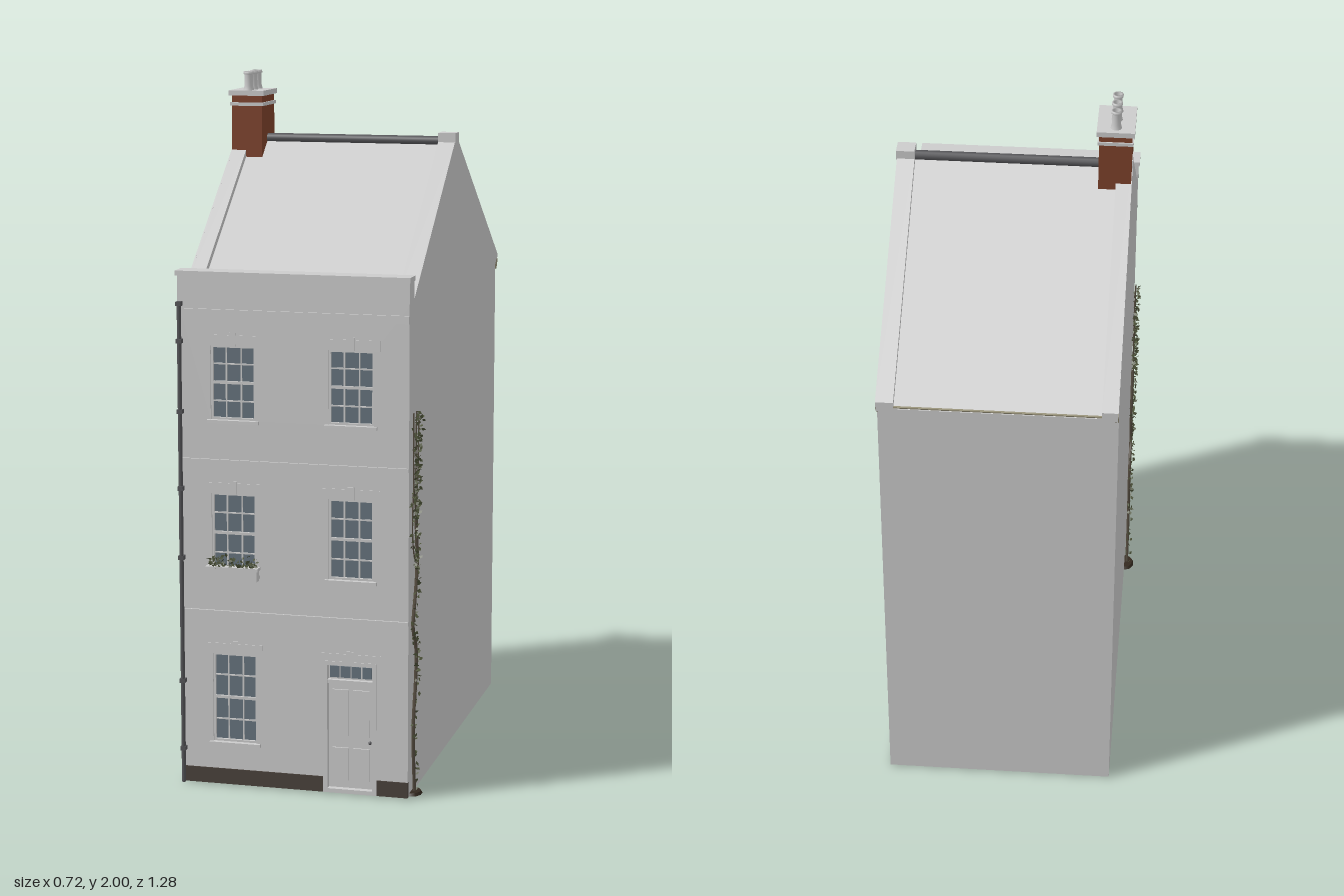
import * as THREE from 'three';
import { mergeGeometries } from 'three/addons/utils/BufferGeometryUtils.js';

const mat = (color, side = THREE.FrontSide) => new THREE.MeshStandardMaterial({ color, side });
const grey = mat(0xcccccc), greyBoth = mat(0xcccccc, THREE.DoubleSide);
const plinthMat = mat(0x4a423b), glassMat = mat(0x66737d), brick = mat(0x7d412b), dark = mat(0x555558);
const gutterMat = mat(0x9a947c), roomMat = mat(0x9a8f70), floorMat = mat(0x463322);
const stemMat = mat(0x554c40), leafMat = mat(0x4c5238, THREE.DoubleSide), soilMat = mat(0x33291f);

const L = -0.335, R = 0.33, FRONT = 0.6;

function add(parent, name, geo, material, x = 0, y = 0, z = 0) {
  const m = new THREE.Mesh(geo, material);
  m.name = name;
  m.position.set(x, y, z);
  parent.add(m);
  return m;
}
// Box given by its limits
function box(parent, name, material, x0, x1, y0, y1, z0, z1) {
  return add(parent, name, new THREE.BoxGeometry(x1 - x0, y1 - y0, z1 - z0), material,
    (x0 + x1) / 2, (y0 + y1) / 2, (z0 + z1) / 2);
}
// Side profile of [z, y] points, extruded from x0 to x1
function profile(parent, name, material, pts, x0, x1) {
  const shape = new THREE.Shape(pts.map(([z, y]) => new THREE.Vector2(-z, y)));
  const geo = new THREE.ExtrudeGeometry(shape, { depth: x1 - x0, bevelEnabled: false });
  geo.rotateY(Math.PI / 2);
  return add(parent, name, geo, material, x0);
}
function rectPath(x0, x1, y0, y1) {
  return new THREE.Path([[x0, y0], [x0, y1], [x1, y1], [x1, y0]].map(p => new THREE.Vector2(...p)));
}
function seeded(seed) {
  return () => (seed = (seed * 16807) % 2147483647) / 2147483647;
}
// Pointed, slightly folded leaf, randomly turned
function leaf(rand, x, y, z, s) {
  const g = new THREE.CircleGeometry(s, 4);
  g.scale(1, 0.65, 1);
  g.rotateX((rand() - 0.5) * 2.4);
  g.rotateY(rand() * 6.28);
  g.rotateZ(rand() * 6.28);
  return g.translate(x, y, z);
}

// Sash window with frame, glazing bars, sill, lintel and the room behind it
function windowUnit(x0, x1, y0, y1) {
  const g = new THREE.Group();
  g.name = 'window';
  const cx = (x0 + x1) / 2, w = x1 - x0, h = y1 - y0, f = 0.006;
  box(g, 'glass', glassMat, x0, x1, y0, y1, 0.584, 0.587);
  box(g, 'frameLeft', grey, x0, x0 + f, y0, y1, 0.585, 0.595);
  box(g, 'frameRight', grey, x1 - f, x1, y0, y1, 0.585, 0.595);
  box(g, 'frameBottom', grey, x0, x1, y0, y0 + f, 0.585, 0.595);
  box(g, 'frameTop', grey, x0, x1, y1 - f, y1, 0.585, 0.595);
  box(g, 'meetingRail', grey, x0, x1, y0 + h / 2 - 0.004, y0 + h / 2 + 0.004, 0.585, 0.594);
  for (const t of [1 / 3, 2 / 3]) box(g, 'uprightBar', grey, x0 + w * t - 0.002, x0 + w * t + 0.002, y0, y1, 0.585, 0.591);
  for (const t of [0.25, 0.75]) box(g, 'crossBar', grey, x0, x1, y0 + h * t - 0.002, y0 + h * t + 0.002, 0.585, 0.591);
  box(g, 'sill', grey, x0 - 0.01, x1 + 0.01, y0 - 0.01, y0, 0.59, 0.61);
  box(g, 'lintel', grey, x0 - 0.018, x1 + 0.018, y1, y1 + 0.03, 0.595, 0.602);
  box(g, 'keystone', grey, cx - 0.01, cx + 0.01, y1, y1 + 0.037, 0.595, 0.604);
  box(g, 'room', roomMat, x0 - 0.035, x1 + 0.035, y0, y1 + 0.01, 0.38, 0.582);
  box(g, 'roomFloor', floorMat, x0 - 0.035, x1 + 0.035, y0 - 0.004, y0, 0.38, 0.582);
  return g;
}

function door() {
  const g = new THREE.Group();
  g.name = 'door';
  const x0 = 0.085, x1 = 0.24, top = 0.385;
  add(g, 'doorLeaf', new THREE.PlaneGeometry(x1 - x0, top), grey, (x0 + x1) / 2, top / 2, 0.586);
  box(g, 'jambLeft', grey, x0, x0 + 0.012, 0, top, 0.586, 0.604);
  box(g, 'jambRight', grey, x1 - 0.012, x1, 0, top, 0.586, 0.604);
  box(g, 'head', grey, x0, x1, top - 0.012, top, 0.586, 0.604);
  box(g, 'transom', grey, x0, x1, 0.32, 0.33, 0.586, 0.6);
  box(g, 'threshold', grey, x0, x1, 0, 0.012, 0.586, 0.604);
  for (let i = 0; i < 4; i++) {
    const x = 0.101 + i * 0.0315;
    box(g, 'fanlight', glassMat, x, x + 0.027, 0.335, 0.368, 0.586, 0.589);
  }
  for (const x of [0.108, 0.168]) for (const [a, b] of [[0.035, 0.13], [0.165, 0.3]]) {
    box(g, 'panel', grey, x, x + 0.048, a, b, 0.586, 0.591);
  }
  add(g, 'knob', new THREE.SphereGeometry(0.005, 10, 8), dark, 0.219, 0.15, 0.593);
  box(g, 'lintel', grey, x0 - 0.012, x1 + 0.012, top, top + 0.022, 0.595, 0.602);
  box(g, 'keystone', grey, 0.153, 0.173, top, top + 0.03, 0.595, 0.604);
  return g;
}

// Climbing plant on a side wall: winding stems, spreading crown, leaves
function climber(x, side, dz, seed) {
  const g = new THREE.Group();
  g.name = 'climbingPlant';
  const rand = seeded(seed), leaves = [], stems = [];
  const runs = [
    [[0.55, 0], [0.57, 0.2], [0.54, 0.34], [0.54, 0.43], [0.58, 0.49], [0.55, 0.58], [0.53, 0.66], [0.545, 0.8]],
    [[0.53, 0.66], [0.57, 0.7], [0.59, 0.78], [0.575, 0.9]],
    [[0.545, 0.8], [0.575, 0.9], [0.58, 1.1]],
    [[0.545, 0.8], [0.55, 0.95], [0.545, 1.1]],
    [[0.545, 0.8], [0.525, 0.93], [0.515, 1.09]],
  ];
  runs.forEach((pts, k) => {
    const curve = new THREE.CatmullRomCurve3(pts.map(([z, y]) => new THREE.Vector3(x + side * 0.008, y, z + dz)));
    stems.push(new THREE.TubeGeometry(curve, 24, k ? 0.002 : 0.005, 5));
    const n = k ? 45 : 110, spread = k ? 0.022 : 0.014;
    for (let i = 0; i < n; i++) {
      const p = curve.getPoint(i / n);
      leaves.push(leaf(rand, x + side * (0.006 + rand() * 0.014), p.y + (rand() - 0.5) * 0.02,
        p.z + (rand() - 0.5) * 2 * spread, 0.006 + rand() * 0.003));
    }
  });
  add(g, 'stems', mergeGeometries(stems), stemMat);
  add(g, 'leaves', mergeGeometries(leaves), leafMat);
  add(g, 'soil', new THREE.CylinderGeometry(0.03, 0.036, 0.008, 10), soilMat, x + side * 0.002, 0.004, 0.55 + dz)
    .scale.x = 0.8;
  return g;
}

function windowBox() {
  const g = new THREE.Group();
  g.name = 'windowBox';
  const rand = seeded(77), leaves = [];
  box(g, 'planter', grey, -0.246, -0.1, 0.606, 0.642, 0.606, 0.632);
  box(g, 'planterRim', grey, -0.249, -0.097, 0.636, 0.645, 0.604, 0.635);
  for (let i = 0; i < 130; i++) {
    leaves.push(leaf(rand, -0.245 + rand() * 0.145, 0.642 + rand() * rand() * 0.04, 0.605 + rand() * 0.028, 0.007));
  }
  add(g, 'plants', mergeGeometries(leaves), leafMat);
  return g;
}

function chimney() {
  const g = new THREE.Group();
  g.name = 'chimney';
  box(g, 'stack', brick, -0.333, -0.241, 1.745, 1.93, -0.066, 0.066);
  box(g, 'lowerBand', grey, -0.337, -0.237, 1.9, 1.91, -0.07, 0.07);
  box(g, 'cap', grey, -0.34, -0.234, 1.93, 1.945, -0.075, 0.075);
  const pot = [[0.016, 0], [0.013, 0.012], [0.012, 0.045], [0.015, 0.047], [0.015, 0.055], [0.01, 0.055], [0.009, 0.01]]
    .map(p => new THREE.Vector2(...p));
  for (const z of [-0.045, 0, 0.045]) {
    add(g, 'pot', new THREE.LatheGeometry(pot, 16), greyBoth, -0.287, 1.945, z);
    add(g, 'flue', new THREE.CylinderGeometry(0.009, 0.009, 0.004, 12), dark, -0.287, 1.96, z);
  }
  return g;
}

export function createModel() {
  const house = new THREE.Group();
  house.name = 'terracedHouse';

  // Front wall with openings
  const windows = [];
  for (const [y0, y1] of [[0.125, 0.385], [0.62, 0.85], [1.06, 1.27]]) for (const x0 of [-0.24, 0.1]) {
    if (y0 < 0.5 && x0 > 0) continue;
    windows.push([x0, x0 + 0.13, y0, y1]);
  }
  const front = new THREE.Shape([[L, 0], [0.085, 0], [0.085, 0.385], [0.24, 0.385], [0.24, 0], [R, 0], [R, 1.4], [L, 1.4]]
    .map(p => new THREE.Vector2(...p)));
  windows.forEach(w => { front.holes.push(rectPath(...w)); house.add(windowUnit(...w)); });
  add(house, 'frontWall', new THREE.ExtrudeGeometry(front, { depth: 0.017, bevelEnabled: false }), grey, 0, 0, 0.583);

  // Gable side walls and back wall
  const gable = [[FRONT, 0], [FRONT, 1.475], [0.545, 1.475], [0.545, 1.41], [0, 1.82], [-0.635, 1.4], [-0.6, 1.37], [-0.6, 0]];
  profile(house, 'leftGable', grey, gable, R - 0.004, R);
  profile(house, 'rightGable', grey, gable, L, L + 0.004);
  box(house, 'backWall', grey, L, R, 0, 1.39, -0.6, -0.596);

  // Roof slopes between raised copings
  const roofBand = (dy, t) => [[0.55, 1.406 - dy], [0, 1.82 - dy], [-0.637, 1.4 - dy],
    [-0.637, 1.4 - dy - t], [0, 1.82 - dy - t], [0.55, 1.406 - dy - t]];
  profile(house, 'roof', grey, roofBand(0.02, 0.012), L + 0.01, R - 0.01);
  profile(house, 'copingLeft', grey, roofBand(0, 0.03), 0.28, R - 0.001);
  profile(house, 'copingRight', grey, roofBand(0, 0.03), L + 0.001, -0.29);
  const ridge = add(house, 'ridgeTile', new THREE.CylinderGeometry(0.014, 0.014, 0.59, 12), dark, -0.005, 1.803, 0);
  ridge.rotation.z = Math.PI / 2;
  for (const x of [L, 0.28]) box(house, 'apexBlock', grey, x, x + 0.052, 1.8, 1.828, -0.025, 0.025);

  // Parapet, string courses and plinth
  box(house, 'parapet', grey, L, R, 1.37, 1.465, 0.547, FRONT);
  box(house, 'parapetCap', grey, -0.34, 0.333, 1.463, 1.477, 0.543, 0.606);
  for (const [a, b] of [[0.5, 0.511], [0.936, 0.947], [1.35, 1.372]]) {
    box(house, 'stringCourse', grey, L, R, a, b, 0.595, 0.606);
  }
  box(house, 'plinth', plinthMat, L, 0.085, 0, 0.045, 0.59, 0.603);
  box(house, 'plinth', plinthMat, 0.24, R, 0, 0.045, 0.59, 0.603);

  // Rear gutter
  profile(house, 'gutter', gutterMat, [[-0.6, 1.355], [-0.6, 1.385], [-0.637, 1.385], [-0.63, 1.365], [-0.618, 1.355]], L, R);

  // Downpipe with brackets
  add(house, 'downpipe', new THREE.CylinderGeometry(0.006, 0.006, 1.39, 10), dark, -0.327, 0.695, 0.611);
  for (const y of [0.1, 0.3, 0.66, 0.86, 1.08, 1.28, 1.385]) {
    box(house, 'pipeBracket', dark, -0.335, -0.319, y - 0.006, y + 0.006, 0.598, 0.618);
  }

  house.add(door(), windowBox(), chimney());
  house.add(climber(R, 1, 0, 11), climber(L, -1, -0.14, 29));
  return house;
}
